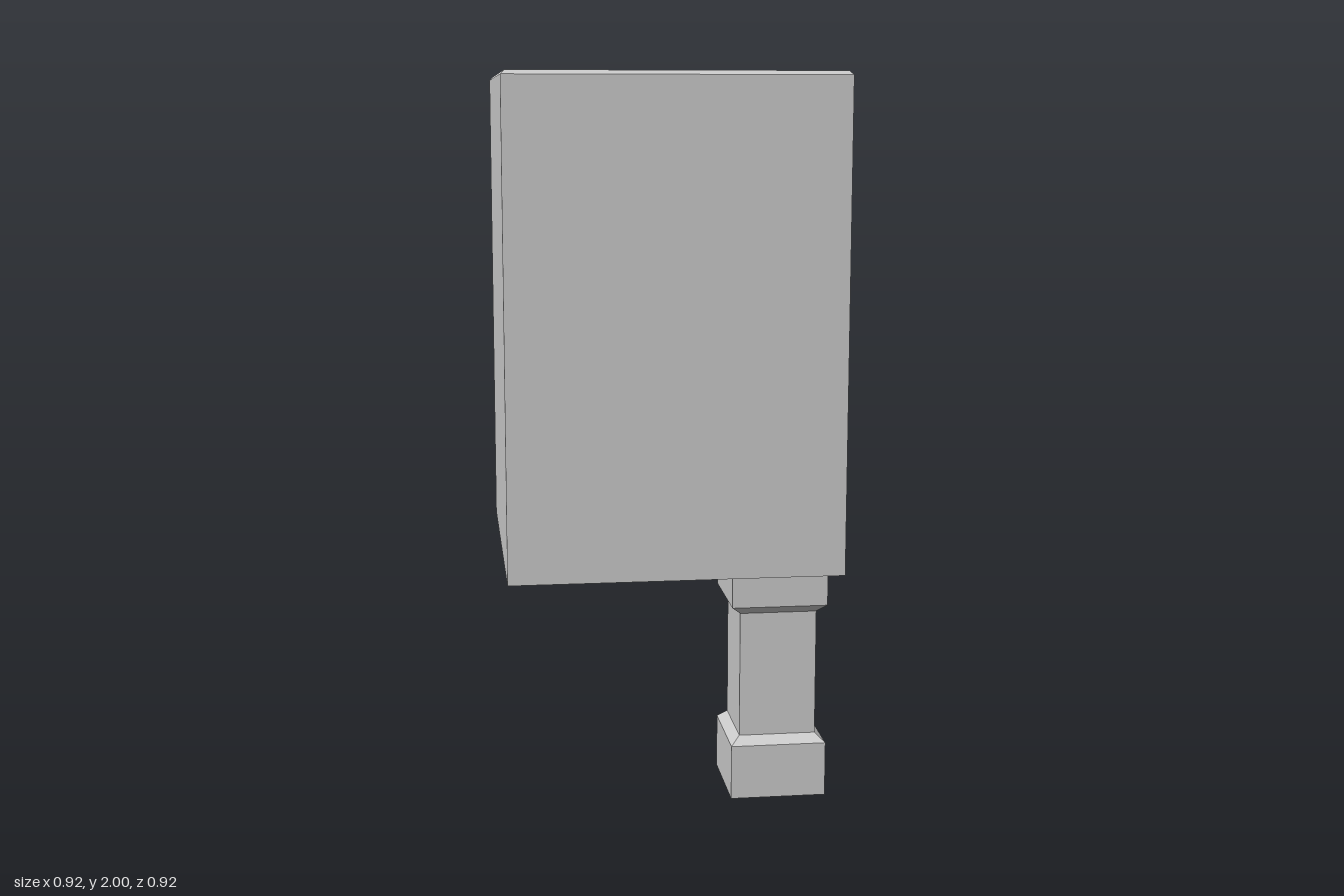
import * as THREE from 'three';

const grey = new THREE.MeshStandardMaterial({ color: 0xcccccc });
grey.name = 'light grey';

// Square solid from a profile of [half width, height] pairs, listed bottom to top
function squareTurned(name, profile) {
  const points = profile.map(([half, y]) => new THREE.Vector2(half * Math.SQRT2, y));
  const geometry = new THREE.LatheGeometry(points, 4).rotateY(Math.PI / 4).toNonIndexed();
  geometry.computeVertexNormals(); // flat faces
  const mesh = new THREE.Mesh(geometry, grey);
  mesh.name = name;
  return mesh;
}

export function createModel() {
  const group = new THREE.Group();
  group.name = 'boxOnPost';

  // Tall box with a bevelled rim around a shallow sunken top
  group.add(squareTurned('box', [
    [0, 0.64], [0.462, 0.64], [0.462, 1.989], [0.451, 2],
    [0.425, 2], [0.414, 1.989], [0, 1.989],
  ]));

  // Off-centre post: bevelled foot, slim shaft and flared collar
  const post = squareTurned('post', [
    [0, 0], [0.133, 0], [0.133, 0.152], [0.107, 0.175],
    [0.107, 0.527], [0.133, 0.55], [0.133, 0.64], [0, 0.64],
  ]);
  post.position.set(0.287, 0, 0.302);
  group.add(post);

  return group;
}
